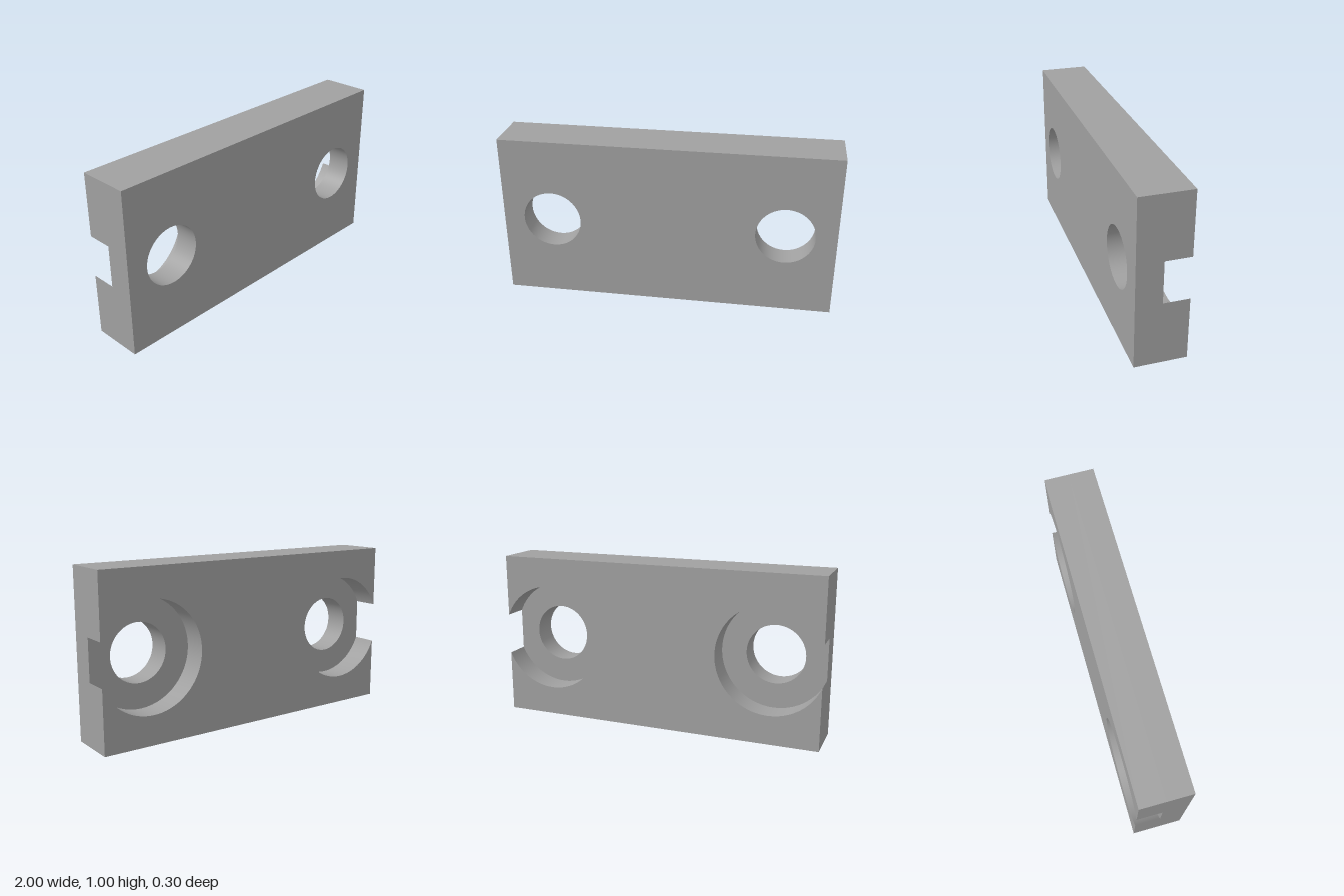
import * as THREE from 'three';
import { toCreasedNormals } from 'three/addons/utils/BufferGeometryUtils.js';

const HALF = 0.15;                        // half of the plate thickness
const CX = 0.7, CY = 0.5;                 // hole centres at +-CX
const HOLE_R = 0.175, BORE_R = 0.325;
const A = Math.atan2(0.125, 0.3);         // angle where the bore breaks through the end
const SEG = 48;

function addHole(shape, x) {
  const hole = new THREE.Path();
  hole.absarc(x, CY, HOLE_R, 0, Math.PI * 2, true);
  shape.holes.push(hole);
}

// Full rectangle with two through holes
function frontShape() {
  const s = new THREE.Shape();
  s.moveTo(-1, 0).lineTo(1, 0).lineTo(1, 1).lineTo(-1, 1).closePath();
  addHole(s, CX);
  addHole(s, -CX);
  return s;
}

// Rectangle with a counterbore cut into each end
function backShape() {
  const s = new THREE.Shape();
  s.moveTo(-1, 0).lineTo(1, 0);
  s.absarc(CX, CY, BORE_R, -A, A, true);
  s.lineTo(1, 1).lineTo(-1, 1);
  s.absarc(-CX, CY, BORE_R, Math.PI - A, Math.PI + A, true);
  s.closePath();
  return s;
}

// Disc clipped by the end of the plate, with the through hole
function floorShape(side) {
  const s = new THREE.Shape();
  const start = side > 0 ? A : Math.PI + A;
  s.absarc(side * CX, CY, BORE_R, start, start + Math.PI * 2 - 2 * A, false);
  s.closePath();
  addHole(s, side * CX);
  return s;
}

// Side walls only of an extruded shape
function walls(shape, z) {
  const full = new THREE.ExtrudeGeometry(shape, { depth: HALF, bevelEnabled: false, curveSegments: SEG });
  const { start, count } = full.groups[1];
  const pos = full.attributes.position.array.slice(start * 3, (start + count) * 3);
  const g = new THREE.BufferGeometry();
  g.setAttribute('position', new THREE.BufferAttribute(pos, 3));
  g.translate(0, 0, z);
  return toCreasedNormals(g, 0.5);
}

// Flat face at depth z, looking forwards or backwards
function face(shape, z, backwards) {
  const g = new THREE.ShapeGeometry(shape, SEG);
  if (backwards) g.rotateY(Math.PI);
  return g.translate(0, 0, z);
}

export function createModel() {
  const group = new THREE.Group();
  group.name = 'mountingPlate';
  const grey = new THREE.MeshStandardMaterial({ color: 0xa0a0a0 });
  grey.name = 'grey';

  const add = (name, geometry) => {
    const mesh = new THREE.Mesh(geometry, grey);
    mesh.name = name;
    group.add(mesh);
  };

  add('frontFace', face(frontShape(), HALF, false));
  add('frontWalls', walls(frontShape(), 0));
  add('backWalls', walls(backShape(), -HALF));
  add('backFace', face(backShape(), -HALF, true));

  // Counterbore floors; turning a floor backwards swaps its side
  add('leftCounterboreFloor', face(floorShape(-1), 0, true));
  add('rightCounterboreFloor', face(floorShape(1), 0, true));
  return group;
}
